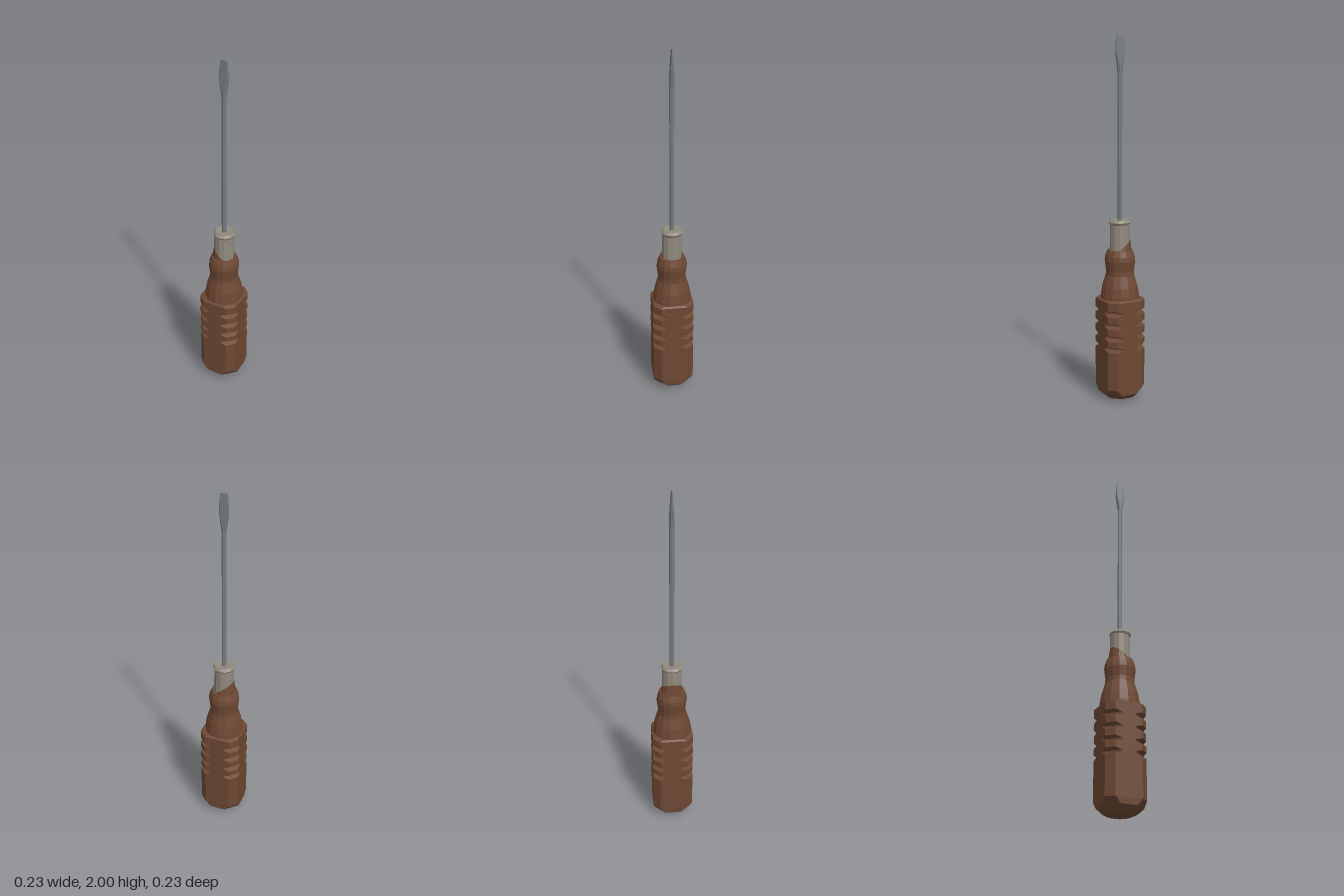
import * as THREE from 'three';

const mat = (name, color, extra = {}) => {
  const m = new THREE.MeshStandardMaterial({ color, flatShading: true, ...extra });
  m.name = name;
  return m;
};

// Loft through eight-sided rings: [y, half width x, corner x, half depth z, corner z]
function loft(rings) {
  const pos = [], idx = [];
  for (const [y, hx, cx, hz = hx, cz = cx] of rings) {
    const ring = [[hx, -cz], [hx, cz], [cx, hz], [-cx, hz], [-hx, cz], [-hx, -cz], [-cx, -hz], [cx, -hz]];
    for (const [x, z] of ring) pos.push(x, y, z);
  }
  const top = (rings.length - 1) * 8;
  for (let r = 0; r < top; r += 8) {
    for (let i = 0; i < 8; i++) {
      const j = (i + 1) % 8;
      idx.push(r + i, r + 8 + i, r + 8 + j, r + i, r + 8 + j, r + j);
    }
  }
  for (let i = 1; i < 7; i++) idx.push(0, i, i + 1, top, top + i + 1, top + i);
  const g = new THREE.BufferGeometry();
  g.setAttribute('position', new THREE.Float32BufferAttribute(pos, 3));
  g.setIndex(idx);
  const flat = g.toNonIndexed();
  flat.computeVertexNormals();
  return flat;
}

const lathe = (points, sides) =>
  new THREE.LatheGeometry(points.map(([r, y]) => new THREE.Vector2(r, y)), sides);

export function createModel() {
  const group = new THREE.Group();
  const wood = mat('brown wood', 0x6e4833);
  const collarMetal = mat('warm grey metal', 0x918a7c);
  const steel = mat('steel', 0x737b82);
  const add = (name, geometry, material) => {
    const mesh = new THREE.Mesh(geometry, material);
    mesh.name = name;
    group.add(mesh);
  };

  // Chamfered square grip with a rounded butt and V grooves cut in its corners
  const H = 0.115, C = 0.075;
  const grip = [[0, 0.05, 0.022], [0.012, 0.082, 0.036], [0.04, 0.113, 0.045], [0.075, H, C]];
  for (const y of [0.305, 0.368, 0.437, 0.506]) {
    grip.push([y - 0.016, H, C], [y - 0.005, H, 0.038], [y + 0.005, H, 0.038], [y + 0.016, H, C]);
  }
  grip.push([0.568, H, C], [0.576, 0.106, 0.06]);
  add('grip', loft(grip), wood);

  // Waisted neck
  add('neck', lathe([[0.109, 0.57], [0.108, 0.59], [0.1, 0.64], [0.08, 0.705], [0.079, 0.73],
    [0.086, 0.785], [0.083, 0.81], [0.071, 0.843], [0, 0.843]], 14), wood);

  // Slanted lip of wood around the ferrule
  const lip = new THREE.CylinderGeometry(0.056, 0.067, 0.04, 12);
  const p = lip.attributes.position;
  for (let i = 0; i < p.count; i++) {
    const x = p.getX(i);
    p.setY(i, p.getY(i) > 0 ? 0.868 - 0.75 * x : 0.82);
  }
  lip.computeVertexNormals();
  add('neckLip', lip, wood);

  // Ferrule with a thin, slightly off-centre rim
  add('ferrule', lathe([[0.057, 0.82], [0.054, 0.99]], 12), collarMetal);
  const rim = lathe([[0.053, 0.982], [0.061, 0.996], [0.05, 1.01], [0.025, 1.006], [0, 1.006]], 12);
  rim.translate(0.002, 0, 0);
  add('ferruleRim', rim, collarMetal);

  // Round shaft running into a flattened, spread blade
  add('shaft', new THREE.CylinderGeometry(0.013, 0.013, 0.83, 8).translate(0, 1.405, 0), steel);
  add('blade', loft([
    [1.81, 0.013, 0.0055],
    [1.86, 0.019, 0.012, 0.0125, 0.006],
    [1.9, 0.025, 0.02, 0.0095, 0.005],
    [1.945, 0.025, 0.021, 0.006, 0.003],
    [2.0, 0.019, 0.018, 0.002, 0.001],
  ]), steel);

  return group;
}
